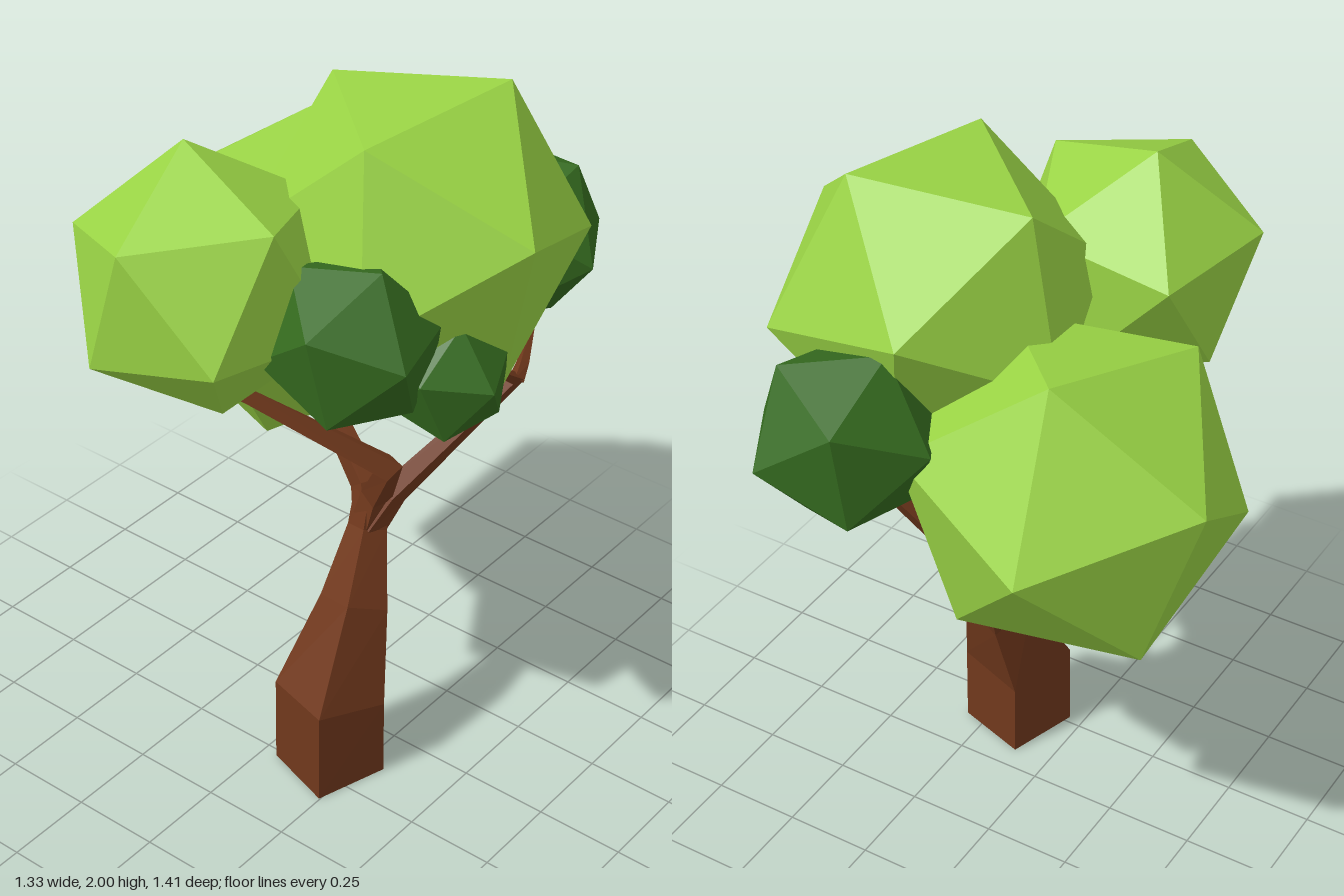
import * as THREE from 'three';

const mat = (color) => new THREE.MeshStandardMaterial({ color, flatShading: true });
const bark = mat(0x70381c);
const lightLeaf = mat(0x9ad445);
const darkLeaf = mat(0x356b1f);

// Rotation frame whose x axis is a and whose y axis leans towards b
function frame(a, b) {
  const x = a.clone().normalize();
  const y = b.clone().addScaledVector(x, -b.dot(x)).normalize();
  return new THREE.Matrix4().makeBasis(x, y, x.clone().cross(y));
}

// Icosahedral leaf clump, turned so two neighbouring corners point along a and b
function clump(name, material, radius, centre, a, b) {
  const p = (1 + Math.sqrt(5)) / 2;
  const local = frame(new THREE.Vector3(-1, p, 0), new THREE.Vector3(1, p, 0)).transpose();
  const turn = frame(new THREE.Vector3(...a), new THREE.Vector3(...b)).multiply(local);
  const geo = new THREE.IcosahedronGeometry(radius, 0).applyMatrix4(turn);
  const mesh = new THREE.Mesh(geo, material);
  mesh.name = name;
  mesh.position.set(...centre);
  return mesh;
}

// Square-section tapering limb through stations [x, y, z, half side]
function limb(name, stations) {
  const pts = stations.map(([x, y, z]) => new THREE.Vector3(x, y, z));
  const last = pts.length - 1;
  const dir = (i) => pts[i + 1].clone().sub(pts[i]).normalize();
  const side = new THREE.Vector3(0.3, 0, -0.95);
  const pos = [];
  const index = [];
  pts.forEach((p, j) => {
    const t = dir(Math.min(j, last - 1));
    if (j > 0 && j < last) t.add(dir(j - 1)).normalize();
    const u = side.clone().addScaledVector(t, -side.dot(t)).normalize();
    const v = t.clone().cross(u);
    const s = stations[j][3];
    for (const [cu, cv] of [[1, 1], [-1, 1], [-1, -1], [1, -1]]) {
      pos.push(...p.clone().addScaledVector(u, cu * s).addScaledVector(v, cv * s).toArray());
    }
    if (j === last) return;
    for (let i = 0; i < 4; i++) {
      const a = j * 4 + i;
      const b = j * 4 + (i + 1) % 4;
      index.push(a, b, b + 4, a, b + 4, a + 4);
    }
  });
  // End caps
  const e = last * 4;
  index.push(0, 2, 1, 0, 3, 2, e, e + 1, e + 2, e, e + 2, e + 3);
  const indexed = new THREE.BufferGeometry();
  indexed.setAttribute('position', new THREE.Float32BufferAttribute(pos, 3));
  indexed.setIndex(index);
  const geo = indexed.toNonIndexed();
  geo.computeVertexNormals();
  const mesh = new THREE.Mesh(geo, bark);
  mesh.name = name;
  return mesh;
}

export function createModel() {
  const tree = new THREE.Group();
  tree.name = 'tree';

  // Trunk and branches
  const wood = new THREE.Group();
  wood.name = 'wood';
  wood.add(
    limb('trunk', [[0.177, 0, 0.2, 0.107], [0.177, 0.25, 0.2, 0.107],
      [0.177, 0.5, 0.095, 0.066], [0.135, 0.67, -0.015, 0.038], [0.13, 0.77, -0.04, 0.034]]),
    limb('leftwardBranch', [[0.135, 0.7, -0.025, 0.034], [0.1, 0.78, -0.05, 0.03],
      [-0.09, 0.93, -0.12, 0.024], [-0.17, 0.99, -0.15, 0.022]]),
    limb('frontBranch', [[0.135, 0.68, -0.02, 0.034], [0.16, 0.78, -0.02, 0.03],
      [0.245, 0.94, 0.04, 0.028], [-0.07, 1.22, 0.325, 0.02], [-0.075, 1.3, 0.33, 0.018]]),
    limb('frontTwig', [[-0.06, 1.22, 0.32, 0.014], [-0.04, 1.27, 0.4, 0.01]]),
    limb('backBranch', [[0.14, 0.68, -0.02, 0.034], [0.185, 0.78, -0.06, 0.028],
      [0.445, 1.165, -0.24, 0.015]]),
    limb('backTwig', [[0.445, 1.155, -0.235, 0.015], [0.44, 1.19, -0.27, 0.012],
      [0.39, 1.26, -0.38, 0.008]]),
    limb('sideTwig', [[0.445, 1.155, -0.24, 0.013], [0.445, 1.2, -0.18, 0.01],
      [0.43, 1.27, -0.05, 0.008]]),
  );

  // Leaf clumps
  const crown = new THREE.Group();
  crown.name = 'crown';
  crown.add(
    clump('lowerClump', lightLeaf, 0.465, [-0.235, 1.27, -0.19], [-0.036, 0.415, -0.19], [-0.43, 0.14, -0.12]),
    clump('topClump', lightLeaf, 0.445, [0.247, 1.615, -0.06], [0.143, 0.385, -0.18], [0.415, 0.13, 0.095]),
    clump('frontClump', lightLeaf, 0.352, [-0.05, 1.575, 0.41], [-0.084, 0.342, -0.037], [-0.005, 0.18, 0.29]),
    clump('backDarkClump', darkLeaf, 0.257, [0.252, 1.425, -0.48], [0.12, -0.025, -0.225], [0.258, -0.025, 0.01]),
    clump('frontDarkClump', darkLeaf, 0.235, [0.33, 1.5, 0.31], [0.09, 0.22, 0], [0.22, 0, 0.08]),
    clump('smallDarkClump', darkLeaf, 0.175, [0.46, 1.355, 0.1], [0.17, 0.02, 0.035], [0.06, 0.16, 0.02]),
  );

  tree.add(wood, crown);
  return tree;
}
